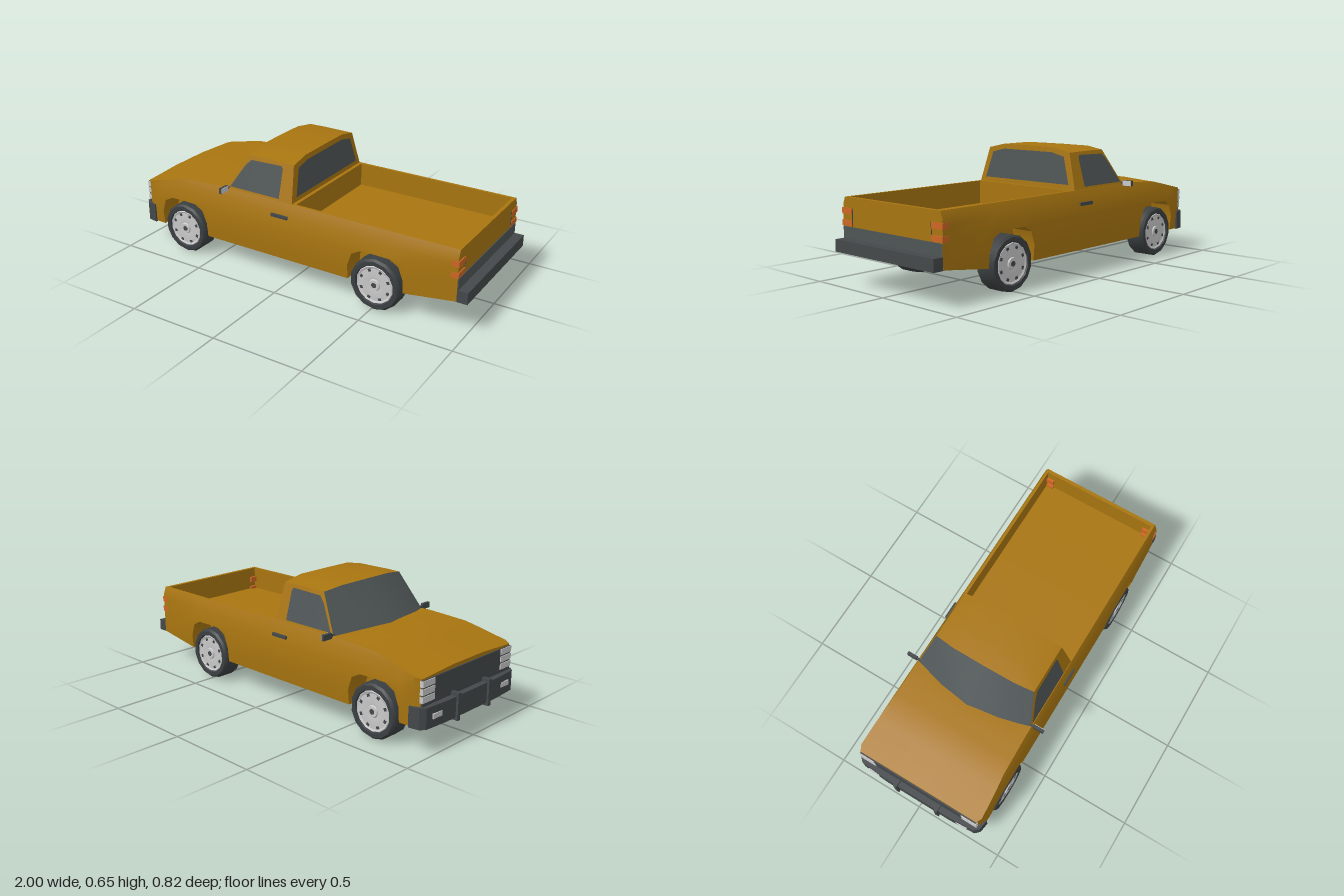
import * as THREE from 'three';
import { toCreasedNormals } from 'three/addons/utils/BufferGeometryUtils.js';

const mat = (name, color, side = THREE.FrontSide) => {
  const m = new THREE.MeshStandardMaterial({ color, side });
  m.name = name;
  return m;
};
const paint = mat('ochrePaint', 0xa87510, THREE.DoubleSide);
const glass = mat('darkGlass', 0x4e5455, THREE.DoubleSide);
const trim = mat('darkTrim', 0x44484a);
const rubber = mat('tyreRubber', 0x3b3f41);
const silver = mat('silver', 0xc8c8c8);
const orange = mat('tailOrange', 0xcc6624);

// Linear interpolation through [input, output] pairs
function interp(pts, t) {
  if (t <= pts[0][0]) return pts[0][1];
  for (let i = 1; i < pts.length; i++) {
    const [a, va] = pts[i - 1], [b, vb] = pts[i];
    if (t <= b) return va + (vb - va) * (t - a) / (b - a);
  }
  return pts[pts.length - 1][1];
}

// Surface through rows of points; normal = row direction x point direction
function grid(rows) {
  const pos = [];
  const v = p => new THREE.Vector3(...p);
  const tri = (a, b, c) => {
    const n = v(b).sub(v(a)).cross(v(c).sub(v(a)));
    if (n.length() > 1e-8) pos.push(...a, ...b, ...c);
  };
  for (let i = 0; i + 1 < rows.length; i++) {
    for (let j = 0; j + 1 < rows[i].length; j++) {
      const a = rows[i][j], b = rows[i + 1][j], c = rows[i + 1][j + 1], d = rows[i][j + 1];
      tri(a, b, c);
      tri(a, c, d);
    }
  }
  const g = new THREE.BufferGeometry();
  g.setAttribute('position', new THREE.Float32BufferAttribute(pos, 3));
  return toCreasedNormals(g, Math.PI / 7);
}
const mirrorRows = rows => rows.map(r => r.map(([x, y, z]) => [x, y, -z])).reverse();

// Body outline rules
const floorY = x => interp([[0.6, 0.13], [0.945, 0.175]], x);
const topY = x => interp([[-0.95, 0.365], [-0.68, 0.428], [-0.46, 0.44]], x);
const crown = x => interp([[-0.68, 0.012], [-0.46, 0.01], [-0.3, 0]], x);
const creaseZ = x => interp([[-0.95, 0.12], [-0.46, 0.17]], x);
const halfWidth = (x, y) => Math.min(
  interp([[0.12, 0.368], [0.2, 0.376], [0.31, 0.38], [0.37, 0.367], [0.405, 0.359], [0.44, 0.345]], y),
  interp([[-0.95, 0.35], [-0.92, 0.366], [-0.86, 0.38], [0.65, 0.38], [0.945, 0.36]], x));
const AXLES = [-0.685, 0.515];
const ARCH = [[-0.155, 0.21], [-0.13, 0.28], [-0.08, 0.308], [0, 0.31], [0.08, 0.308], [0.13, 0.28], [0.155, 0.21]];

// Half cross-section as [z, y], from the floor centre round to the top centre
function halfSection(x, b, open) {
  const f = floorY(x), t = topY(x), c = t + crown(x);
  const side = [0.2, 0.31, 0.37, 0.405].map(v => Math.max(b, Math.min(v, t - (0.44 - v) * 0.5)));
  return [
    [0, f], [0.25, f], [0.25, b],
    ...[b, ...side, t].map(y => [halfWidth(x, y), y]),
    [0.33, t],
    ...(open ? [[0.33, 0.312], [0, 0.312]] : [[creaseZ(x), c], [0, c]]),
  ];
}

function buildBody(add) {
  const cols = [];
  const col = (x, b = floorY(x), open = x > 0.03 && x < 0.925) => cols.push([x, b, open]);
  const arch = cx => {
    col(cx - 0.155);
    ARCH.forEach(([dx, y]) => col(cx + dx, y));
    col(cx + 0.155);
  };
  [-0.95, -0.92, -0.86].forEach(x => col(x));
  arch(AXLES[0]);
  [-0.46, -0.3, 0.03].forEach(x => col(x));
  col(0.03, floorY(0.03), true);
  arch(AXLES[1]);
  col(0.925, floorY(0.925), true);
  [0.925, 0.945].forEach(x => col(x));

  const rows = cols.map(([x, b, open]) => {
    const h = halfSection(x, b, open).map(([z, y]) => [x, y, z]);
    return h.concat(h.slice(0, -1).reverse().map(([px, y, z]) => [px, y, -z]));
  });
  add('bodyShell', grid(rows), paint);
  const cap = x => halfSection(x, floorY(x), false).map(([z, y]) => [[x, y, -z], [x, y, z]]);
  add('tailgate', grid(cap(0.945)), paint);
  add('nosePanel', grid(cap(-0.95).reverse()), paint);
}

function buildCab(add) {
  // Half rows [x, y, z] from the outer edge to the centre line
  const full = h => h.concat(h.slice(0, -1).reverse().map(([x, y, z]) => [x, y, -z]));
  const rows = [
    [[-0.40, 0.44, 0.342], [-0.455, 0.442, 0.17], [-0.475, 0.448, 0]],
    [[-0.285, 0.63, 0.288], [-0.30, 0.645, 0.18], [-0.302, 0.646, 0]],
    [[-0.2, 0.632, 0.288], [-0.2, 0.653, 0.18], [-0.2, 0.654, 0]],
    [[-0.01, 0.63, 0.288], [-0.01, 0.653, 0.18], [-0.01, 0.654, 0]],
    [[0.01, 0.44, 0.342], [0.01, 0.44, 0.18], [0.01, 0.44, 0]],
  ].map(full);
  add('windscreen', grid(rows.slice(0, 2)), glass);
  add('roof', grid(rows.slice(1, 4)), paint);
  add('cabBack', grid(rows.slice(3)), paint);

  const wall = [
    [rows[0][0], rows[1][0]],
    [[-0.2, 0.44, 0.342], rows[2][0]],
    [rows[4][0], rows[3][0]],
  ];
  const pane = (x, y) => [x, y, 0.346 - (y - 0.44) * 0.284];
  const window = [
    [pane(-0.382, 0.452), pane(-0.382, 0.452)],
    [pane(-0.30, 0.452), pane(-0.30, 0.58)],
    [pane(-0.268, 0.452), pane(-0.268, 0.61)],
    [pane(-0.08, 0.452), pane(-0.08, 0.615)],
    [pane(-0.07, 0.452), pane(-0.07, 0.6)],
  ];
  for (const m of [r => r, mirrorRows]) {
    add('cabSide', grid(m(wall)), paint);
    add('sideWindow', grid(m(window)), glass);
  }
  const back = [[0.627, 0.17], [0.608, 0.255], [0.465, 0.30]].map(([y, z]) => {
    const x = 0.014 - (y - 0.44) * 0.1;
    return [[x, y, z], [x, y, -z]];
  });
  add('rearWindow', grid(back), glass);
}

function buildWheel() {
  const wheel = new THREE.Group();
  const lathe = (name, pts, m) => {
    const g = new THREE.LatheGeometry(pts.map(p => new THREE.Vector2(...p)), 14).rotateX(Math.PI / 2);
    const mesh = new THREE.Mesh(toCreasedNormals(g, Math.PI / 6), m);
    mesh.name = name;
    wheel.add(mesh);
  };
  lathe('tyre', [[0, -0.045], [0.09, -0.055], [0.13, -0.0575], [0.14, -0.045], [0.14, 0.045],
    [0.13, 0.0575], [0.108, 0.0575], [0.102, 0.044]], rubber);
  lathe('rim', [[0.105, 0.046], [0.1, 0.053], [0.09, 0.048], [0.045, 0.051], [0.032, 0.049],
    [0.028, 0.056], [0, 0.056]], silver);
  // Vent slots round the rim and the hub cap centre
  for (let i = 0; i < 8; i++) {
    const a = (i + 0.5) * Math.PI / 4;
    const slot = new THREE.Mesh(new THREE.BoxGeometry(0.014, 0.016, 0.006), trim);
    slot.name = 'rimSlot';
    slot.position.set(Math.cos(a) * 0.08, Math.sin(a) * 0.08, 0.048);
    slot.rotation.z = a;
    wheel.add(slot);
  }
  const hub = new THREE.Mesh(new THREE.CylinderGeometry(0.014, 0.014, 0.004, 10).rotateX(Math.PI / 2), trim);
  hub.name = 'hubCentre';
  hub.position.z = 0.056;
  wheel.add(hub);
  return wheel;
}

export function createModel() {
  const model = new THREE.Group();
  model.name = 'pickupTruck';
  const add = (name, geometry, material) => {
    const mesh = new THREE.Mesh(geometry, material);
    mesh.name = name;
    model.add(mesh);
    return mesh;
  };
  // Box given by its limits on each axis
  const box = (name, m, x0, x1, y0, y1, z0, z1) =>
    add(name, new THREE.BoxGeometry(x1 - x0, y1 - y0, z1 - z0), m)
      .position.set((x0 + x1) / 2, (y0 + y1) / 2, (z0 + z1) / 2);
  const pair = (name, m, x0, x1, y0, y1, z0, z1) => {
    box(name, m, x0, x1, y0, y1, z0, z1);
    box(name, m, x0, x1, y0, y1, -z1, -z0);
  };

  buildBody(add);
  buildCab(add);

  // Wheels
  for (const x of AXLES) {
    for (const s of [1, -1]) {
      const w = buildWheel();
      w.name = x < 0 ? 'frontWheel' : 'rearWheel';
      w.position.set(x, 0.14, s * 0.3225);
      if (s < 0) w.rotation.y = Math.PI;
      model.add(w);
    }
  }

  // Front: grille, stacked headlamps, wrapped bumper with guards
  box('grille', trim, -0.957, -0.942, 0.225, 0.358, -0.351, 0.351);
  for (const y of [0.25, 0.288, 0.326]) pair('headlamp', silver, -0.961, -0.938, y, y + 0.03, 0.265, 0.354);
  const outer = [[-0.9, 0.378], [-0.955, 0.37], [-0.978, 0.345], [-0.988, 0.2]];
  const plan = [...outer, ...outer.map(([x, z]) => [x, -z]).reverse(), [-0.9, -0.34], [-0.94, -0.33], [-0.94, 0.33], [-0.9, 0.34]];
  const bumper = new THREE.ExtrudeGeometry(new THREE.Shape(plan.map(p => new THREE.Vector2(...p))),
    { depth: 0.105, bevelEnabled: false });
  add('frontBumper', bumper.rotateX(Math.PI / 2), trim).position.y = 0.232;
  pair('bumperGuard', trim, -1, -0.955, 0.112, 0.25, 0.115, 0.135);
  pair('frontIndicator', silver, -0.988, -0.98, 0.17, 0.195, 0.24, 0.305);

  // Rear: dark lower panel, bumper, banded tail lamps
  box('rearPanel', glass, 0.942, 0.949, 0.225, 0.294, -0.357, 0.357);
  box('rearBumper', trim, 0.935, 1, 0.172, 0.234, -0.358, 0.358);
  for (const [y0, y1] of [[0.298, 0.327], [0.356, 0.386]]) {
    pair('tailLamp', orange, 0.91, 0.95, y0, y1, 0.288, 0.3635);
  }
  pair('lampEdge', trim, 0.942, 0.948, 0.294, 0.386, 0.285, 0.288);

  // Door mirrors and handles
  pair('mirror', trim, -0.402, -0.386, 0.43, 0.46, 0.355, 0.412);
  pair('mirrorStalk', trim, -0.399, -0.389, 0.435, 0.45, 0.335, 0.357);
  pair('mirrorFace', silver, -0.386, -0.383, 0.431, 0.459, 0.356, 0.411);
  pair('doorHandle', trim, -0.1, 0, 0.361, 0.378, 0.36, 0.376);
  return model;
}
